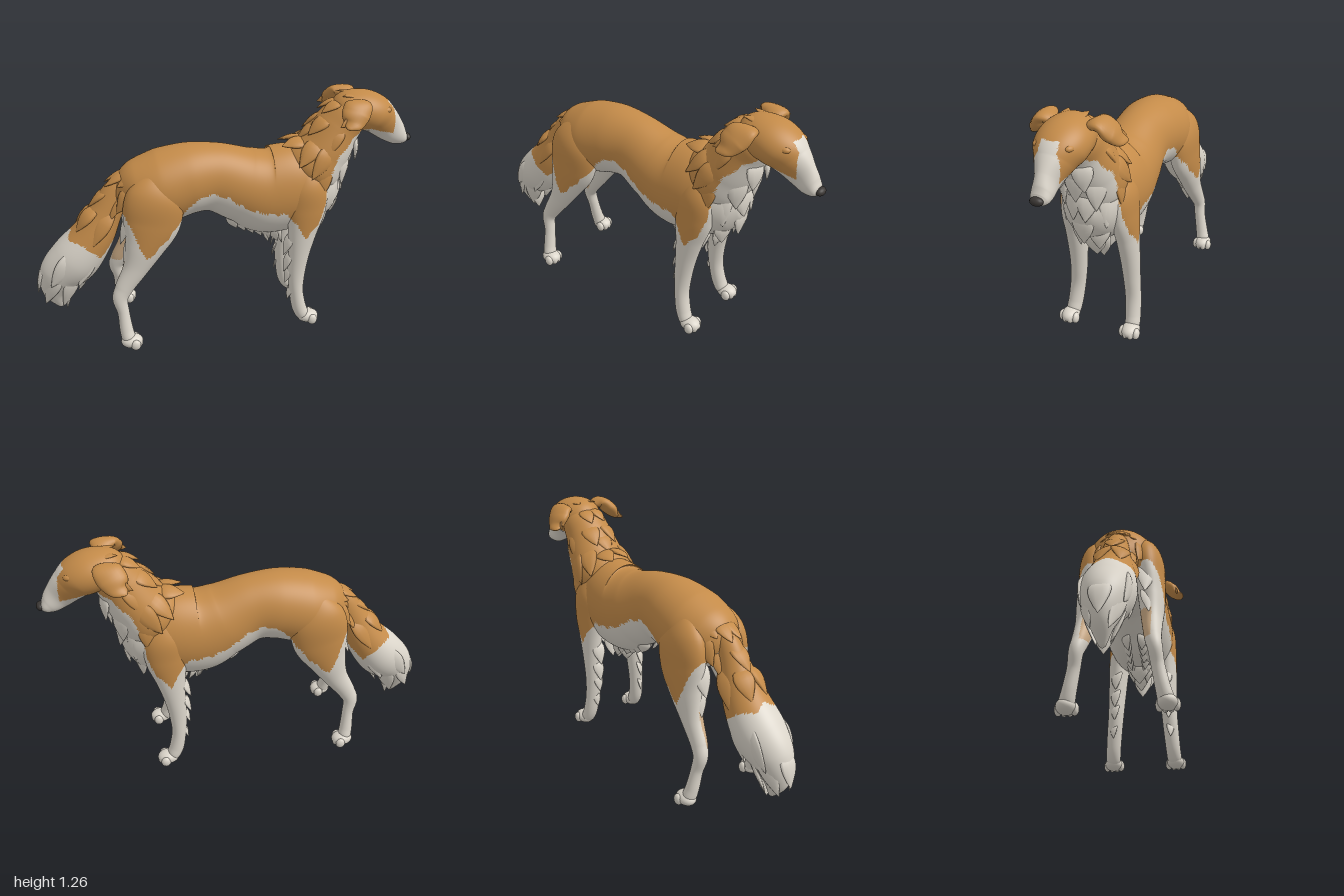
import * as THREE from 'three';
import { mergeGeometries } from 'three/addons/utils/BufferGeometryUtils.js';

const V = (x, y, z) => new THREE.Vector3(x, y, z);
const paint = (name, color) => {
  const m = new THREE.MeshStandardMaterial({ color });
  m.name = name;
  return m;
};

// Smooth tube of elliptical rings; each row is [x, y, z, radius up, radius sideways].
// coat(x, y, z) gives the material number of a face: 0 tan, 1 white, 2 pale tan.
function loft(rows, along, around, coat = () => 0, ref = V(0, 0, 1)) {
  const path = new THREE.CatmullRomCurve3(rows.map(r => V(r[0], r[1], r[2])));
  const radii = new THREE.CatmullRomCurve3(rows.map(r => V(r[3], r[4], 0)), false, 'catmullrom', 0.5);
  const pos = [], groups = [[], [], []];
  for (let i = 0; i <= along; i++) {
    const u = i / along, c = path.getPoint(u), t = path.getTangent(u), r = radii.getPoint(u);
    const up = ref.clone().cross(t).normalize(), side = t.clone().cross(up);
    const end = i === 0 || i === along ? 0 : 1;
    for (let j = 0; j < around; j++) {
      const a = j / around * Math.PI * 2;
      const p = c.clone().addScaledVector(up, Math.sin(a) * Math.max(r.x, 0.001) * end)
        .addScaledVector(side, Math.cos(a) * Math.max(r.y, 0.001) * end);
      pos.push(p.x, p.y, p.z);
    }
  }
  const mid = (ids, k) => ids.reduce((s, i) => s + pos[i * 3 + k], 0) / 3;
  for (let i = 0; i < along; i++) for (let j = 0; j < around; j++) {
    const k = (j + 1) % around, a = i * around + j, b = a + around, c = i * around + k, d = c + around;
    for (const f of [[a, b, c], [b, d, c]]) groups[coat(mid(f, 0), mid(f, 1), mid(f, 2))].push(...f);
  }
  const g = new THREE.BufferGeometry();
  g.setAttribute('position', new THREE.Float32BufferAttribute(pos, 3));
  g.setIndex(groups.flat());
  let start = 0;
  groups.forEach((ids, n) => {
    if (ids.length) g.addGroup(start, ids.length, n);
    start += ids.length;
  });
  g.computeVertexNormals();
  return g;
}

// Lower edge of the tan coat, from rump to cheek
const EDGE = [[-0.6, 0.86], [-0.54, 0.77], [-0.49, 0.66], [-0.43, 0.5], [-0.35, 0.57], [-0.26, 0.67],
  [-0.18, 0.78], [-0.1, 0.815], [0, 0.785], [0.1, 0.715], [0.2, 0.685], [0.3, 0.675], [0.35, 0.61], [0.4, 0.53],
  [0.47, 0.61], [0.505, 0.7], [0.515, 0.83], [0.56, 0.95], [0.66, 1.05], [0.74, 1.085], [0.8, 1.06], [0.9, 1.03]];
function edgeY(x) {
  for (let i = 1; i < EDGE.length; i++) {
    const [x0, y0] = EDGE[i - 1], [x1, y1] = EDGE[i];
    if (x <= x1) return THREE.MathUtils.lerp(y0, y1, Math.max(0, (x - x0) / (x1 - x0)));
  }
  return EDGE[EDGE.length - 1][1];
}
const zigzag = v => Math.abs(((v % 1) + 1) % 1 - 0.5) * 2;
const pick = isTan => isTan ? 0 : 1;
const bodyCoat = (x, y, z) =>
  pick(y > edgeY(x) + 0.012 * zigzag(x * 14) && (y > 0.72 || Math.abs(z) > 0.13));
const hindCoat = (x, y, z) => y > 0.33 && y < 0.5 && Math.abs(z) < 0.158 && x < -0.485 - (0.44 - y) * 0.55
  ? 2 : bodyCoat(x, y, z);
const headCoat = (x, y, z) => pick(y > edgeY(x) && x < 0.883 - 0.1 * Math.max(0, y - 1.1)
  && !(x > 0.79 && Math.abs(z) < 0.043 && y < 1.205));
const tailCoat = (x, y, z) => pick(y > 0.5 - 0.9 * (x + 0.72) + 0.05 * zigzag(z * 9)
  && 0.75 * x - 0.65 * y < -0.8);

export function createModel() {
  const model = new THREE.Group();
  const tan = paint('tan coat', 0xc48b49), white = paint('white coat', 0xdbd5ca);
  const pale = paint('pale tan', 0xcfae88), dark = paint('nose', 0x3b3734);
  const coats = [tan, white, pale];
  const add = (name, geometry, material, parent = model) => {
    const m = new THREE.Mesh(geometry, material);
    m.name = name;
    parent.add(m);
    return m;
  };
  const ball = (name, material, p, s, parent = model) => {
    const m = add(name, new THREE.SphereGeometry(1, 20, 14), material, parent);
    m.position.set(...p);
    m.scale.set(...s);
  };

  add('torso', loft([
    [-0.575, 0.80, 0, 0.03, 0.03], [-0.53, 0.80, 0, 0.10, 0.09], [-0.45, 0.81, 0, 0.155, 0.155],
    [-0.33, 0.82, 0, 0.19, 0.185], [-0.18, 0.85, 0, 0.185, 0.172], [-0.05, 0.845, 0, 0.18, 0.155],
    [0.1, 0.79, 0, 0.2, 0.175], [0.22, 0.75, 0, 0.235, 0.183], [0.35, 0.76, 0, 0.235, 0.18],
    [0.47, 0.76, 0, 0.21, 0.16], [0.56, 0.76, 0, 0.15, 0.12], [0.61, 0.76, 0, 0.07, 0.06],
    [0.625, 0.76, 0, 0.01, 0.01]], 130, 80, bodyCoat), coats);

  add('neck', loft([
    [0.35, 0.75, 0, 0.04, 0.04], [0.44, 0.85, 0, 0.165, 0.155], [0.525, 0.965, 0, 0.145, 0.15],
    [0.595, 1.08, 0, 0.122, 0.125], [0.655, 1.15, 0, 0.1, 0.11], [0.7, 1.18, 0, 0.04, 0.05]], 80, 64, bodyCoat), coats);

  // Head: broad skull pinched into a long narrow muzzle
  add('head', loft([
    [0.55, 1.14, 0, 0.04, 0.04], [0.62, 1.155, 0, 0.095, 0.1], [0.71, 1.16, 0, 0.102, 0.122],
    [0.78, 1.135, 0, 0.1, 0.117], [0.83, 1.095, 0, 0.09, 0.085], [0.885, 1.043, 0, 0.074, 0.053],
    [0.93, 1.005, 0, 0.055, 0.047], [0.96, 0.989, 0, 0.033, 0.04], [0.982, 0.983, 0, 0.01, 0.015]],
  120, 80, headCoat), coats);
  ball('nose', dark, [0.979, 0.991, 0], [0.021, 0.02, 0.031]);

  // Flat tapering locks of fur: each is [start, end, width], mirrored when off the middle.
  // They lie on a part that faces "out" along its middle line and sideways at z = half.
  const locks = (name, material, out, half, list) => {
    const parts = [];
    for (const [p, q, w] of list) for (const s of p[2] ? [1, -1] : [1]) {
      const a = V(p[0], p[1], p[2] * s), b = V(q[0], q[1], q[2] * s), k = Math.min(1, p[2] / half);
      const n = V(...out).normalize().multiplyScalar(Math.sqrt(1 - k * k)).add(V(0, 0, s * k));
      const row = (f, lift, thick, wide) =>
        [...a.clone().lerp(b, f).addScaledVector(n, lift * w).toArray(), thick * w, wide * w];
      parts.push(loft([row(-0.15, -0.6, 0.1, 0.5), row(0.2, -0.15, 0.3, 0.95), row(0.5, 0, 0.26, 0.85),
        row(0.8, 0, 0.14, 0.4), row(1, 0, 0.02, 0.02)], 12, 10, undefined, n.clone().cross(b.clone().sub(a))));
    }
    add(name, mergeGeometries(parts), material);
  };

  for (const s of [1, -1]) {
    const side = s > 0 ? 'left' : 'right';

    // Folded ears and brows
    add(side + 'Ear', loft([
      [0.67, 1.215, 0.075 * s, 0.015, 0.03], [0.655, 1.225, 0.125 * s, 0.03, 0.065],
      [0.625, 1.19, 0.165 * s, 0.034, 0.07], [0.6, 1.155, 0.195 * s, 0.022, 0.05],
      [0.57, 1.14, 0.222 * s, 0.004, 0.008]], 30, 24, undefined, V(1, 0, 0)), tan);
    ball(side + 'Brow', tan, [0.818, 1.172, 0.07 * s], [0.032, 0.018, 0.024]);

    // Legs: rows run from body to paw
    const leg = (name, coat, rows, [x, z]) => {
      const g = new THREE.Group();
      g.name = side + name;
      model.add(g);
      add('leg', loft(rows.map(r => [r[0], r[1], r[2] * s, r[3], r[4]]), 110, 48, coat), coats, g);
      ball('paw', white, [x, 0.04, z * s], [0.058, 0.036, 0.046], g);
      for (let i = 0; i < 4; i++) {
        const o = (i - 1.5) * 0.025;
        ball('toe', white, [x + 0.036 - Math.abs(o) * 0.5, 0.034, (z + o) * s], [0.026, 0.03, 0.018], g);
      }
    };
    leg('FrontLeg', bodyCoat, [
      [0.39, 0.92, 0.09, 0.03, 0.03], [0.41, 0.80, 0.112, 0.105, 0.07], [0.41, 0.68, 0.13, 0.105, 0.062],
      [0.395, 0.55, 0.138, 0.077, 0.054], [0.38, 0.42, 0.143, 0.056, 0.048], [0.37, 0.30, 0.148, 0.046, 0.043],
      [0.372, 0.20, 0.155, 0.038, 0.041], [0.39, 0.10, 0.163, 0.039, 0.039], [0.41, 0.05, 0.167, 0.035, 0.037],
      [0.42, 0.02, 0.168, 0.02, 0.02]], [0.44, 0.17]);
    leg('HindLeg', hindCoat, [
      [-0.34, 0.95, 0.07, 0.04, 0.04], [-0.37, 0.82, 0.12, 0.14, 0.078], [-0.39, 0.68, 0.14, 0.145, 0.07],
      [-0.435, 0.55, 0.15, 0.1, 0.06], [-0.485, 0.44, 0.155, 0.066, 0.048], [-0.55, 0.335, 0.165, 0.048, 0.039],
      [-0.574, 0.28, 0.175, 0.04, 0.034], [-0.563, 0.2, 0.186, 0.031, 0.031], [-0.554, 0.1, 0.205, 0.035, 0.034],
      [-0.545, 0.05, 0.216, 0.035, 0.036], [-0.54, 0.02, 0.22, 0.02, 0.02]], [-0.53, 0.222]);
  }

  // Plumed tail
  add('tail', loft([
    [-0.45, 0.89, 0, 0.04, 0.035], [-0.54, 0.82, 0, 0.065, 0.055], [-0.61, 0.70, 0, 0.085, 0.08],
    [-0.685, 0.57, 0, 0.11, 0.11], [-0.78, 0.45, 0, 0.13, 0.125], [-0.865, 0.36, 0, 0.115, 0.1],
    [-0.9, 0.26, 0, 0.075, 0.06], [-0.88, 0.15, 0, 0.01, 0.01]], 90, 60, tailCoat), coats);
  locks('tailUpperFur', white, [-0.8, 0.5, 0], 0.1, [
    [[-0.96, 0.42, 0], [-0.995, 0.25, 0], 0.05], [[-0.88, 0.42, 0.09], [-0.96, 0.2, 0.035], 0.05],
    [[-0.8, 0.5, 0.11], [-0.92, 0.33, 0.09], 0.05]]);
  locks('tailLowerFur', white, [0.7, -0.7, 0], 0.1, [
    [[-0.79, 0.38, 0.08], [-0.87, 0.17, 0.03], 0.05], [[-0.72, 0.38, 0], [-0.785, 0.24, 0], 0.05],
    [[-0.83, 0.28, 0], [-0.855, 0.135, 0], 0.05], [[-0.64, 0.46, 0.04], [-0.72, 0.34, 0.03], 0.04],
    [[-0.7, 0.5, 0.1], [-0.78, 0.32, 0.09], 0.04]]);
  locks('tailBaseFur', tan, [-0.75, 0.6, 0], 0.09, [
    [[-0.5, 0.92, 0.02], [-0.61, 0.85, 0.03], 0.04], [[-0.6, 0.83, 0], [-0.7, 0.73, 0], 0.05],
    [[-0.68, 0.74, 0.04], [-0.77, 0.62, 0.05], 0.05], [[-0.6, 0.72, 0.08], [-0.7, 0.55, 0.11], 0.045],
    [[-0.53, 0.81, 0.055], [-0.61, 0.67, 0.08], 0.04]]);

  // Belly fringe and leg feathering
  const fringe = [[[0.21, 0.53, 0], [0.25, 0.43, 0], 0.05], [[0.29, 0.53, 0], [0.325, 0.415, 0], 0.05]];
  for (let i = 0; i < 6; i++) {
    const x = 0.05 + i * 0.045;
    fringe.push([[x - 0.03, 0.62 - i * 0.016, 0.05], [x + 0.015, 0.55 - i * 0.02, 0.035], 0.035]);
  }
  locks('bellyFringe', white, [-0.4, -0.9, 0], 0.09, fringe);
  locks('legFeathering', white, [-1, -0.1, 0], 0.4, [
    [[0.33, 0.54, 0.14], [0.295, 0.42, 0.14], 0.035], [[0.327, 0.43, 0.145], [0.298, 0.32, 0.145], 0.03],
    [[0.327, 0.34, 0.147], [0.308, 0.25, 0.147], 0.026], [[0.338, 0.23, 0.155], [0.322, 0.15, 0.155], 0.022],
    [[-0.5, 0.73, 0.13], [-0.555, 0.57, 0.13], 0.045], [[-0.5, 0.61, 0.14], [-0.545, 0.47, 0.145], 0.04]]);

  // Chest ruff, flowing down the throat to between the forelegs
  locks('chestRuff', white, [0.9, -0.3, 0], 0.13, [
    [[0.685, 1.04, 0.05], [0.68, 0.9, 0.06], 0.05], [[0.665, 1.0, 0], [0.655, 0.83, 0], 0.055],
    [[0.615, 0.96, 0.09], [0.61, 0.78, 0.08], 0.055], [[0.61, 0.88, 0.04], [0.628, 0.72, 0.03], 0.055],
    [[0.54, 0.87, 0.11], [0.56, 0.67, 0.105], 0.055], [[0.605, 0.75, 0], [0.585, 0.58, 0], 0.06],
    [[0.54, 0.68, 0.06], [0.525, 0.53, 0.05], 0.055], [[0.5, 0.6, 0], [0.455, 0.45, 0], 0.065],
    [[0.41, 0.54, 0], [0.38, 0.4, 0], 0.05]]);

  // Mane on the nape and shoulders, ruffled crown and ear tips
  locks('mane', tan, [-0.7, 0.7, 0], 0.13, [
    [[0.58, 1.22, 0.03], [0.49, 1.165, 0.04], 0.04], [[0.52, 1.15, 0.05], [0.42, 1.06, 0.06], 0.05],
    [[0.48, 1.11, 0], [0.38, 1.02, 0], 0.05], [[0.41, 1.03, 0.04], [0.29, 1.005, 0.05], 0.05],
    [[0.57, 1.11, 0.11], [0.49, 0.96, 0.138], 0.045], [[0.52, 1.0, 0.14], [0.42, 0.86, 0.168], 0.05],
    [[0.46, 1.04, 0.1], [0.36, 0.92, 0.145], 0.05], [[0.5, 0.92, 0.145], [0.48, 0.74, 0.155], 0.045],
    [[0.62, 1.18, 0.17], [0.54, 1.145, 0.2], 0.03], [[0.64, 1.18, 0.18], [0.62, 1.135, 0.225], 0.028],
    [[0.68, 1.245, 0.03], [0.59, 1.25, 0.05], 0.025]]);
  locks('rumpFur', tan, [-0.6, 0.8, 0], 0.13, [
    [[-0.44, 0.93, 0.07], [-0.55, 0.86, 0.07], 0.045], [[-0.48, 0.86, 0.11], [-0.56, 0.73, 0.1], 0.045]]);
  return model;
}
